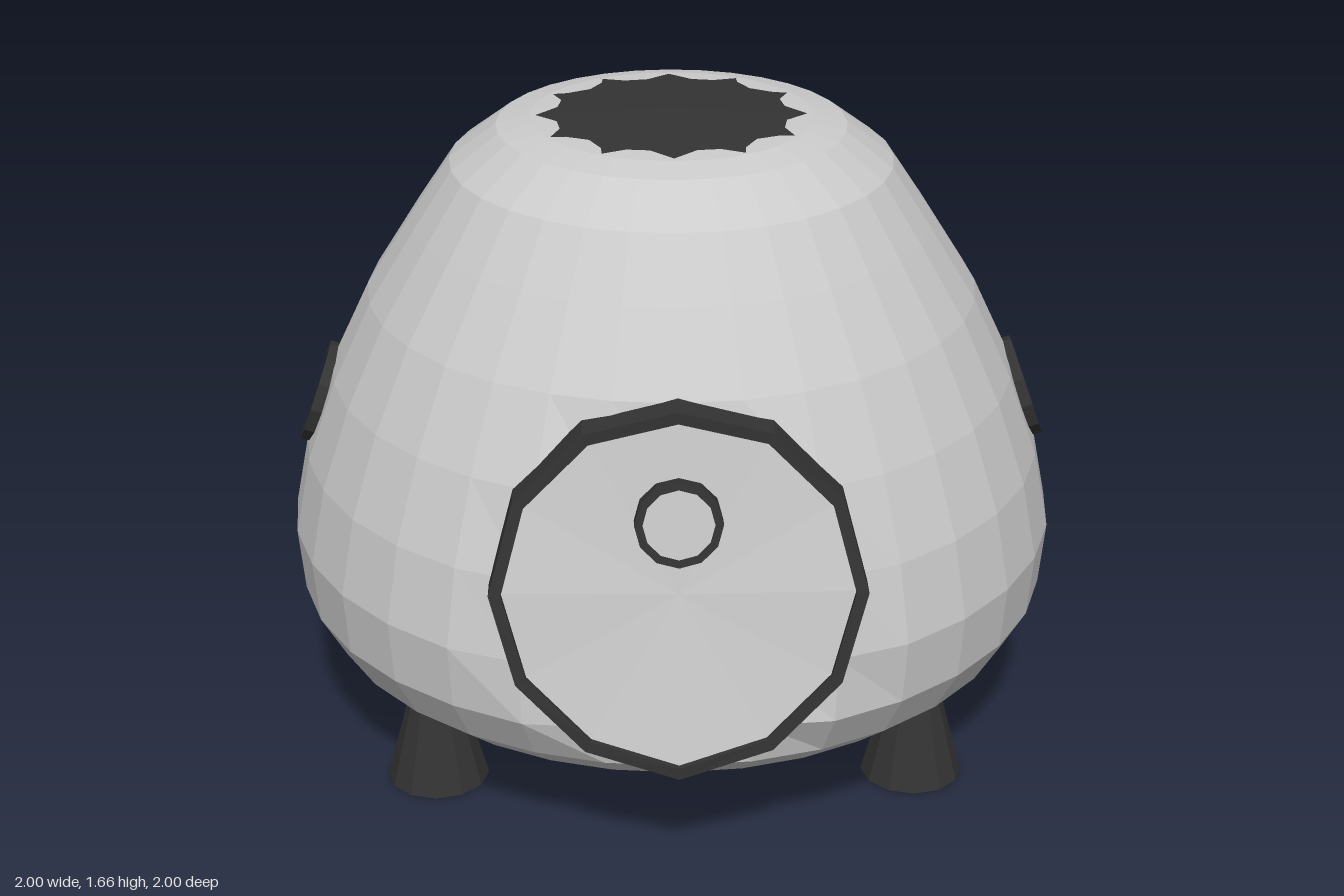
import * as THREE from 'three';

const grey = new THREE.MeshStandardMaterial({ color: 0xcccccc, flatShading: true });
const dark = new THREE.MeshStandardMaterial({ color: 0x333333, flatShading: true });
const darkOpen = new THREE.MeshStandardMaterial({ color: 0x333333, flatShading: true, side: THREE.DoubleSide });

function add(parent, name, geometry, material) {
  const mesh = new THREE.Mesh(geometry, material);
  mesh.name = name;
  parent.add(mesh);
  return mesh;
}

function lathe(points, sides) {
  return new THREE.LatheGeometry(points.map(([r, y]) => new THREE.Vector2(r, y)), sides);
}

// Twelve-sided flat ring, facing +z, its back at z = 0
function ringGeometry(outer, inner, depth) {
  const corners = (r) => Array.from({ length: 12 }, (_, i) =>
    new THREE.Vector2(r * Math.sin(i * Math.PI / 6), r * Math.cos(i * Math.PI / 6)));
  const shape = new THREE.Shape(corners(outer));
  shape.holes.push(new THREE.Path(corners(inner)));
  return new THREE.ExtrudeGeometry(shape, { depth, bevelEnabled: false });
}

// Door corner on the front of the frame; it bends round the hull
const DOOR_Y = 0.75;
const DOOR_Z = [0.86, 0.85, 0.868, 0.907, 0.935, 0.967, 1.0];
function doorCorner(i, radius, back) {
  const k = i % 12, a = k * Math.PI / 6;
  return [radius * Math.sin(a), DOOR_Y + radius * Math.cos(a), DOOR_Z[Math.min(k, 12 - k)] - back];
}

function meshFrom(positions, index) {
  const g = new THREE.BufferGeometry();
  g.setAttribute('position', new THREE.Float32BufferAttribute(positions, 3));
  g.setIndex(index);
  g.computeVertexNormals();
  return g;
}

// Door frame: a rectangular section carried round the twelve corners
function doorFrameGeometry() {
  const section = [[0.45, 0.11], [0.45, 0], [0.42, 0], [0.42, 0.11]];
  const positions = [], index = [];
  for (let i = 0; i < 12; i++) {
    for (let k = 0; k < 4; k++) {
      positions.push(...doorCorner(i, ...section[k]));
      const a = i * 4 + k, b = i * 4 + (k + 1) % 4;
      const d = ((i + 1) % 12) * 4 + k, c = ((i + 1) % 12) * 4 + (k + 1) % 4;
      index.push(a, b, d, b, c, d);
    }
  }
  return meshFrom(positions, index);
}

// Door panel: a fan from the middle to the frame
function doorPanelGeometry() {
  const positions = [0, DOOR_Y, 0.905], index = [];
  for (let i = 0; i < 12; i++) {
    positions.push(...doorCorner(i, 0.425, 0.015));
    index.push(0, 1 + (i + 1) % 12, 1 + i);
  }
  return meshFrom(positions, index);
}

// Hull: turned profile, pressed flat behind the door
function hullGeometry() {
  const g = lathe([
    [0, 0.114], [0.74, 0.167], [0.82, 0.21], [0.92, 0.29], [0.985, 0.405], [1.0, 0.57],
    [0.96, 0.77], [0.885, 0.98], [0.785, 1.19], [0.665, 1.38], [0.565, 1.53],
    [0.445, 1.62], [0.36, 1.6386], [0, 1.6559],
  ], 32);
  const p = g.attributes.position;
  for (let i = 0; i < p.count; i++) {
    const limit = 0.945 - 0.161 * (p.getY(i) - 0.3);
    p.setZ(i, Math.min(p.getZ(i), limit));
  }
  g.computeVertexNormals();
  return g;
}

export function createModel() {
  const model = new THREE.Group();
  model.name = 'pod';

  add(model, 'hull', hullGeometry(), grey);

  // Shallow twelve-sided caps that break through the hull in a scalloped edge
  add(model, 'topCap', lathe([[0.36, 1.6384], [0, 1.66]], 12), dark);
  add(model, 'bottomCap', lathe([[0, 0.095], [0.74, 0.1665]], 12), dark);

  // Flared hollow legs
  for (const x of [-0.615, 0.615]) {
    for (const z of [-0.465, 0.465]) {
      const leg = add(model, 'leg', new THREE.CylinderGeometry(0.07, 0.13, 0.23, 12, 1, true), darkOpen);
      leg.position.set(x, 0.115, z);
    }
  }

  // Portholes on the left, back and right, lying against the sloping hull
  for (const turn of [1, 2, 3]) {
    const holder = new THREE.Group();
    holder.name = 'porthole';
    holder.rotation.y = turn * Math.PI / 2;
    const rim = add(holder, 'portholeRim', ringGeometry(0.135, 0.106, 0.045), dark);
    rim.position.set(0, 0.875, 0.893);
    rim.rotation.x = -0.34;
    model.add(holder);
  }

  // Door with its own small porthole
  const door = new THREE.Group();
  door.name = 'door';
  add(door, 'doorFrame', doorFrameGeometry(), dark);
  add(door, 'doorPanel', doorPanelGeometry(), grey);
  const peep = add(door, 'doorPortholeRim', ringGeometry(0.105, 0.085, 0.045), dark);
  peep.position.set(0, 0.93, 0.872);
  peep.rotation.x = -0.17;
  model.add(door);

  return model;
}
